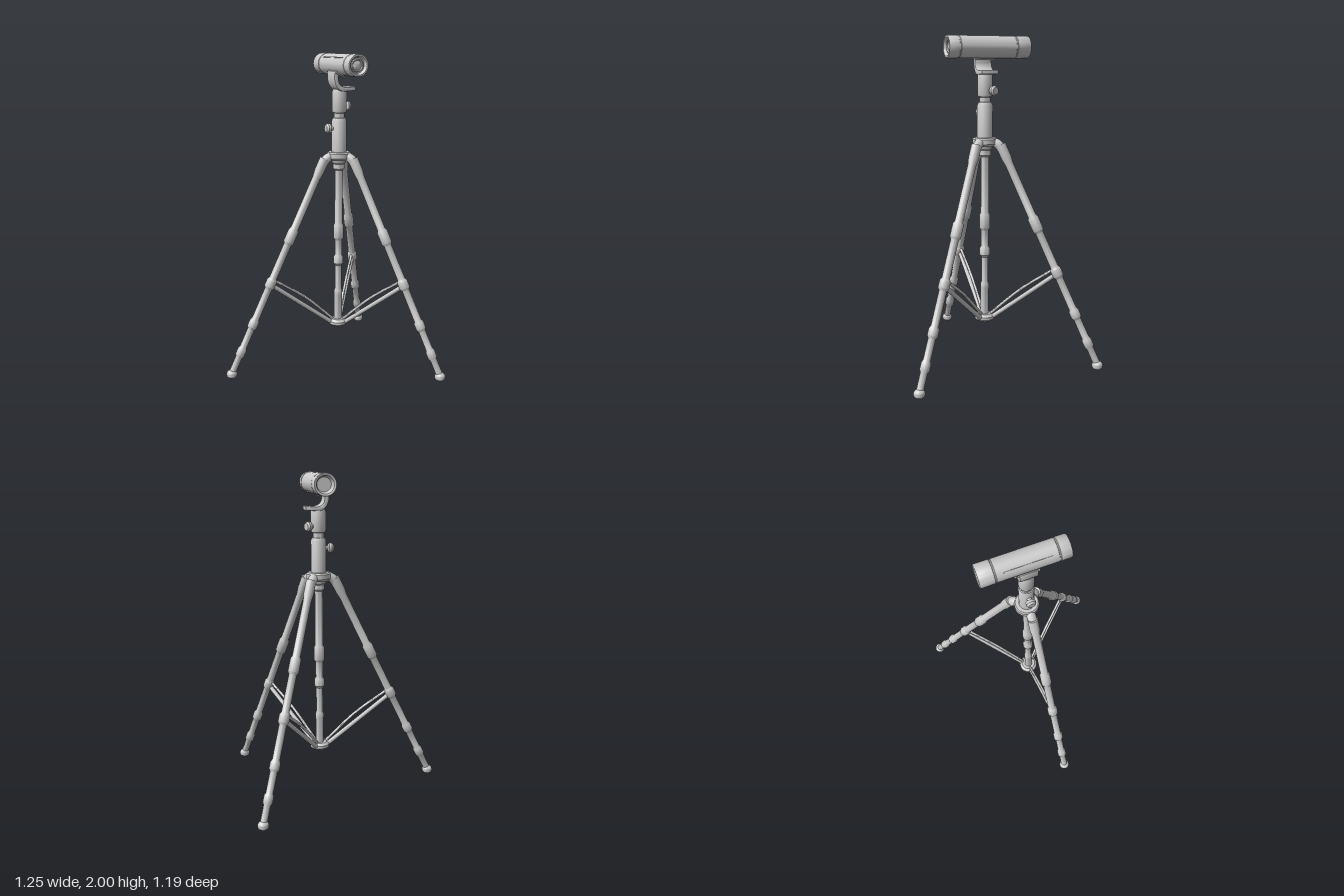
import * as THREE from 'three';
import { toCreasedNormals } from 'three/addons/utils/BufferGeometryUtils.js';

const grey = new THREE.MeshStandardMaterial({ color: 0xcccccc });
const AXIS = 0.147; // x of the centre column

function add(parent, name, geometry) {
  const mesh = new THREE.Mesh(toCreasedNormals(geometry, 0.6), grey);
  mesh.name = name;
  parent.add(mesh);
  return mesh;
}

// Turned part from [radius, height] pairs, bottom to top
function turned(parent, name, pairs, sides = 24) {
  const points = pairs.map(([r, y]) => new THREE.Vector2(r, y));
  return add(parent, name, new THREE.LatheGeometry(points, sides));
}

function rod(parent, name, points, radius) {
  const curve = new THREE.CatmullRomCurve3(points.map(([x, y, z = 0]) => new THREE.Vector3(x, y, z)));
  return add(parent, name, new THREE.TubeGeometry(curve, 16, radius, 12));
}

// Swollen joint centred at height y
const joint = (y, half, r, below, above) => [
  [below, y - half - 0.015], [r, y - half], [r, y + half], [above, y + half + 0.015],
];

function makeLeg(footR) {
  const leg = new THREE.Group();
  leg.name = 'leg';
  const foot = new THREE.Vector2(footR, 0.033);
  const top = new THREE.Vector2(0.09, 1.375);
  const length = foot.distanceTo(top);
  const along = (y) => ((y - foot.y) / (top.y - foot.y)) * length;
  const at = (y) => THREE.MathUtils.lerp(foot.x, top.x, (y - foot.y) / (top.y - foot.y));

  // Telescoping sections with their clamps
  const shaft = turned(leg, 'legShaft', [
    [0, 0], [0.021, 0],
    ...joint(along(0.165), 0.02, 0.029, 0.021, 0.022),
    ...joint(along(0.34), 0.02, 0.031, 0.022, 0.023),
    ...joint(along(0.59), 0.022, 0.033, 0.023, 0.024),
    ...joint(along(0.88), 0.04, 0.033, 0.024, 0.025),
    [0.025, along(1.24)], [0.031, along(1.28)], [0.031, length - 0.02], [0, length - 0.02],
  ], 20);
  shaft.position.set(foot.x, foot.y, 0);
  shaft.rotation.z = Math.atan2(foot.x - top.x, top.y - foot.y);

  // Rubber foot
  const ball = add(leg, 'foot', new THREE.SphereGeometry(0.034, 20, 14));
  ball.position.set(foot.x, 0.029, 0);
  ball.scale.y = 0.85;

  // Elbow that carries the leg on the top hub
  rod(leg, 'legElbow', [[0, 1.367], [0.06, 1.368], [0.092, 1.35], [at(1.27), 1.27]], 0.029);

  // Twin spreader struts, the upper one slightly bowed
  rod(leg, 'lowerStrut', [[0.04, 0.264], [at(0.585), 0.585]], 0.014);
  rod(leg, 'upperStrut', [[0.04, 0.295], [0.23, 0.465], [at(0.615), 0.615]], 0.009);
  return leg;
}

function makeKnob(name, y, angle, reach) {
  const arm = new THREE.Group();
  arm.name = name;
  const knob = turned(arm, name + 'Grip', [
    [0, 0], [0.014, 0], [0.014, reach - 0.035], [0.029, reach - 0.028],
    [0.03, reach - 0.012], [0.022, reach], [0, reach],
  ], 18);
  knob.rotation.z = -Math.PI / 2;
  arm.position.set(0, y, 0);
  arm.rotation.y = angle;
  return arm;
}

export function createModel() {
  const model = new THREE.Group();
  model.name = 'tripodLight';
  const stand = new THREE.Group();
  stand.name = 'stand';
  stand.position.x = AXIS;
  model.add(stand);

  // Three legs: one to the side, two splayed front and back
  const splay = THREE.MathUtils.degToRad(52);
  for (const [angle, footR] of [[Math.PI, 0.737], [splay, 0.715], [-splay, 0.715]]) {
    const leg = makeLeg(footR);
    leg.rotation.y = angle;
    stand.add(leg);
  }

  // Centre column
  turned(stand, 'centreColumn', [
    [0, 0.25], [0.026, 0.25],
    ...joint(0.47, 0.012, 0.027, 0.025, 0.021),
    ...joint(0.69, 0.02, 0.032, 0.021, 0.023),
    ...joint(0.88, 0.04, 0.033, 0.023, 0.025),
    [0.025, 1.28], [0.036, 1.29], [0.036, 1.32], [0.044, 1.33], [0.044, 1.39], [0, 1.39],
  ]);

  // Spreader hub and top hub
  turned(stand, 'spreaderHub', [[0, 0.248], [0.048, 0.248], [0.061, 0.26], [0.061, 0.277], [0.045, 0.292], [0, 0.292]]);
  turned(stand, 'topHub', [[0, 1.345], [0.062, 1.345], [0.075, 1.36], [0.075, 1.388], [0.068, 1.397], [0, 1.397]]);

  // Clamp sleeve, neck and swivel head
  turned(stand, 'head', [
    [0, 1.39], [0.047, 1.39], [0.047, 1.59], [0.04, 1.608], [0.034, 1.61], [0.034, 1.638],
    [0.042, 1.642], [0.046, 1.655], [0.046, 1.765], [0.04, 1.785], [0, 1.785],
  ]);
  stand.add(makeKnob('lowerKnob', 1.545, Math.PI, 0.092));
  stand.add(makeKnob('upperKnob', 1.678, 0.42, 0.09));

  // Curved cradle: a bent strip with a flat tongue
  const strip = new THREE.Shape();
  strip.moveTo(0.082, 1.779);
  strip.lineTo(0.082, 1.797);
  strip.lineTo(0.02, 1.793);
  strip.bezierCurveTo(-0.025, 1.797, -0.04, 1.83, -0.032, 1.868);
  strip.lineTo(0.0, 1.872);
  strip.lineTo(-0.02, 1.9);
  strip.lineTo(-0.052, 1.892);
  strip.bezierCurveTo(-0.065, 1.83, -0.04, 1.782, 0.0, 1.774);
  strip.closePath();
  const cradle = add(stand, 'cradle', new THREE.ExtrudeGeometry(strip, {
    depth: 0.1, bevelEnabled: true, bevelSize: 0.003, bevelThickness: 0.003, bevelSegments: 2, curveSegments: 12,
  }));
  cradle.position.z = -0.05;
  const pad = add(stand, 'cradlePad', new THREE.BoxGeometry(0.06, 0.016, 0.125));
  pad.position.set(-0.025, 1.878, 0);
  pad.rotation.z = -0.45;

  // Cylindrical lamp body, hollow at both ends, axis along z
  const lamp = new THREE.Group();
  lamp.name = 'lamp';
  lamp.position.set(0.154, 1.933, 0);
  model.add(lamp);
  const body = turned(lamp, 'lampBody', [
    [0, -0.225], [0.042, -0.225], [0.052, -0.266], [0.058, -0.27], [0.064, -0.27], [0.067, -0.265],
    [0.067, -0.186], [0.064, -0.184], [0.064, -0.178], [0.066, -0.176],
    [0.066, 0.172], [0.064, 0.174], [0.064, 0.18], [0.067, 0.182],
    [0.067, 0.24], [0.064, 0.245], [0.055, 0.245], [0.05, 0.24], [0.046, 0.222], [0, 0.222],
  ], 40);
  body.rotation.x = Math.PI / 2;

  // Lens with a domed centre
  const lens = turned(lamp, 'lens', [[0.04, 0.22], [0.038, 0.232], [0.032, 0.232], [0.028, 0.226], [0.016, 0.231], [0, 0.233]], 32);
  lens.rotation.x = Math.PI / 2;

  // Thin rib along the body
  const rib = add(lamp, 'rib', new THREE.BoxGeometry(0.006, 0.006, 0.27));
  rib.position.set(-0.05, 0.043, 0);
  rib.rotation.z = 0.86;

  return model;
}
